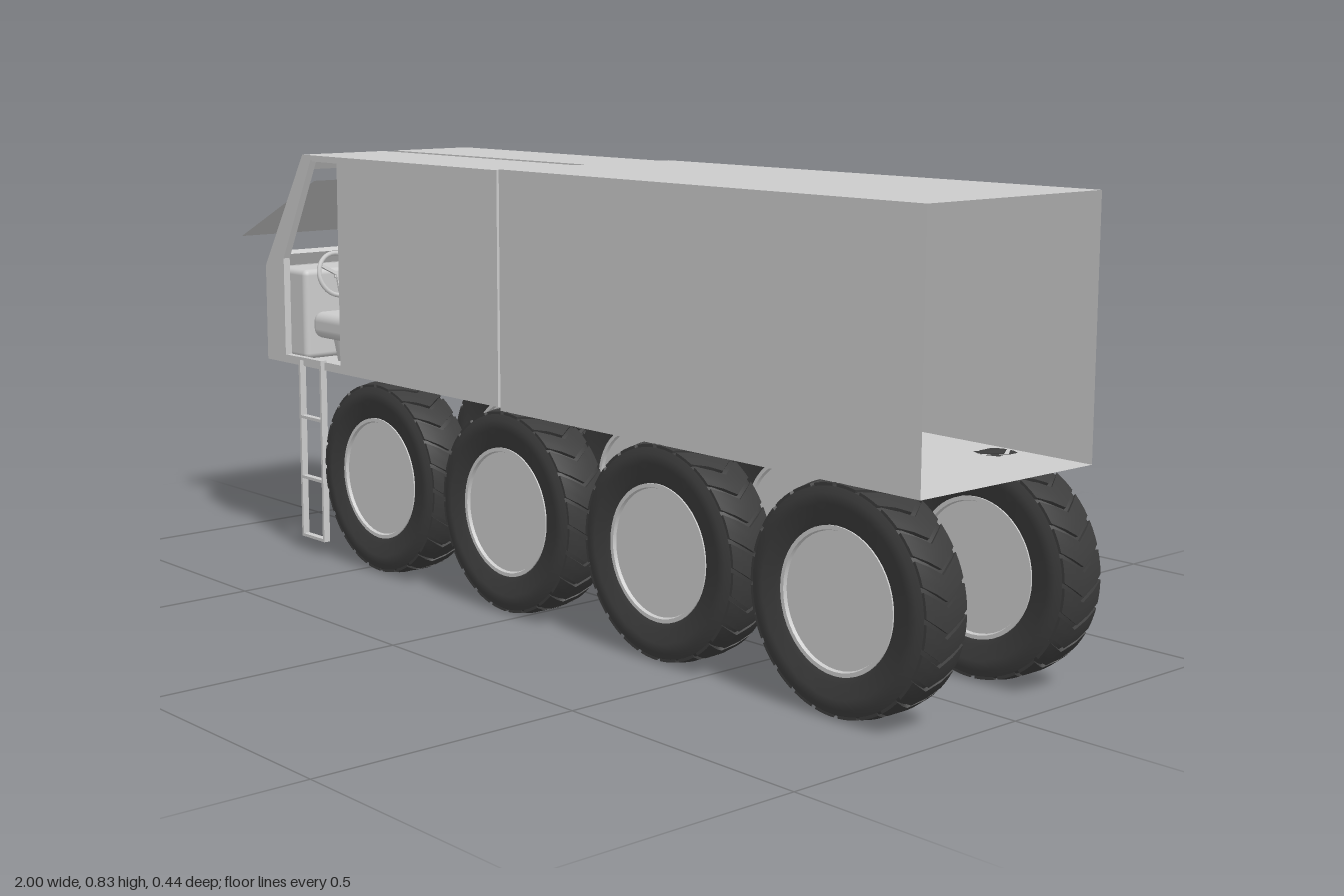
import * as THREE from 'three';
import { toCreasedNormals, mergeGeometries } from 'three/addons/utils/BufferGeometryUtils.js';
import { RoundedBoxGeometry } from 'three/addons/geometries/RoundedBoxGeometry.js';

const grey = new THREE.MeshStandardMaterial({ color: 0xcccccc, side: THREE.DoubleSide });
const rubber = new THREE.MeshStandardMaterial({ color: 0x3c3c3c });

function add(parent, name, geometry, material = grey) {
  const mesh = new THREE.Mesh(geometry, material);
  mesh.name = name;
  parent.add(mesh);
  return mesh;
}

// Box given by its limits on each axis
function block(parent, name, [x0, x1], [y0, y1], [z0, z1], radius = 0) {
  const size = [x1 - x0, y1 - y0, z1 - z0];
  const geo = radius ? new RoundedBoxGeometry(...size, 3, radius) : new THREE.BoxGeometry(...size);
  geo.translate((x0 + x1) / 2, (y0 + y1) / 2, (z0 + z1) / 2);
  return add(parent, name, geo);
}

// Slanted bar between two points of the side profile
function bar(parent, name, [xa, ya], [xb, yb], thick, width, z = 0) {
  const geo = new THREE.BoxGeometry(Math.hypot(xb - xa, yb - ya), thick, width);
  geo.rotateZ(Math.atan2(yb - ya, xb - xa));
  geo.translate((xa + xb) / 2, (ya + yb) / 2, z);
  return add(parent, name, geo);
}

const outline = (pts, Type = THREE.Shape) => new Type(pts.map(p => new THREE.Vector2(...p)));

// Cross wall with a central doorway
function bulkhead(parent, name, x) {
  const shape = outline([[-0.2, 0.39], [0.2, 0.39], [0.2, 0.818], [-0.2, 0.818]]);
  shape.holes.push(outline([[-0.065, 0.396], [-0.065, 0.773], [0.065, 0.773], [0.065, 0.396]], THREE.Path));
  const geo = new THREE.ExtrudeGeometry(shape, { depth: 0.008, bevelEnabled: false });
  add(parent, name, geo.rotateY(Math.PI / 2).translate(x, 0, 0));
}

function createFrontBody() {
  const body = new THREE.Group();
  body.name = 'frontBody';

  // Side walls with the open cab doorway
  const wall = outline([[-0.86, 0.39], [-0.062, 0.39], [-0.062, 0.83], [-0.71, 0.83], [-0.86, 0.59]]);
  wall.holes.push(outline([[-0.79, 0.407], [-0.79, 0.61], [-0.68, 0.82], [-0.585, 0.82], [-0.585, 0.407]], THREE.Path));
  for (const z of [-0.21, 0.195]) {
    const geo = new THREE.ExtrudeGeometry(wall, { depth: 0.015, bevelEnabled: false });
    add(body, 'sideWall', geo.translate(0, 0, z));
  }

  // Roof panels either side of a lower joint strip
  for (const z of [[-0.205, -0.02], [0.007, 0.205]]) block(body, 'roofPanel', [-0.71, -0.062], [0.817, 0.83], z);
  block(body, 'roofJoint', [-0.71, -0.062], [0.812, 0.824], [-0.022, 0.009]);

  block(body, 'floor', [-0.85, -0.062], [0.39, 0.4], [-0.2, 0.2]);
  block(body, 'nosePanel', [-0.86, -0.845], [0.39, 0.592], [-0.2, 0.2]);
  bar(body, 'windscreenSill', [-0.853, 0.588], [-0.835, 0.617], 0.014, 0.4);
  bar(body, 'windscreenHeader', [-0.72, 0.802], [-0.706, 0.825], 0.012, 0.4);
  bulkhead(body, 'cabRearWall', -0.585);

  // Windscreen swung up and out
  const screen = new THREE.PlaneGeometry(Math.hypot(0.29, 0.135), 0.37).rotateX(-Math.PI / 2);
  screen.rotateZ(Math.atan2(0.135, 0.29)).translate(-0.855, 0.7075, -0.003);
  add(body, 'raisedWindscreen', screen);
  return body;
}

function createCabInterior() {
  const cab = new THREE.Group();
  cab.name = 'cabInterior';
  block(cab, 'dashboard', [-0.84, -0.735], [0.4, 0.588], [-0.194, 0.194], 0.012);
  for (const z of [[-0.06, -0.018], [0.047, 0.085]]) block(cab, 'console', [-0.76, -0.715], [0.4, 0.53], z, 0.004);

  for (const s of [-1, 1]) {
    const seat = new THREE.Group();
    seat.name = 'seat';
    seat.position.z = s * 0.125;
    add(seat, 'pedestal', new THREE.CylinderGeometry(0.037, 0.027, 0.055, 20).translate(-0.672, 0.427, 0));
    block(seat, 'cushion', [-0.73, -0.59], [0.447, 0.502], [-0.06, 0.06], 0.02);
    block(seat, 'backrest', [-0.63, -0.586], [0.455, 0.66], [-0.056, 0.056], 0.019);
    cab.add(seat);
  }

  // Steering wheel and column
  const wheel = add(cab, 'steeringWheel', new THREE.TorusGeometry(0.045, 0.005, 8, 32).rotateY(Math.PI / 2));
  wheel.position.set(-0.732, 0.575, 0.115);
  wheel.rotation.z = 0.27;
  for (let i = 0; i < 3; i++) {
    const spoke = new THREE.BoxGeometry(0.005, 0.045, 0.007).translate(0, 0.0225, 0);
    add(wheel, 'spoke', spoke.rotateX(Math.PI + i * Math.PI * 2 / 3));
  }
  bar(cab, 'steeringColumn', [-0.732, 0.575], [-0.79, 0.555], 0.014, 0.014, 0.115);
  return cab;
}

// Rear body: a square sleeve whose walls taper to a thin edge at the open end
function createRearBody() {
  const body = new THREE.Group();
  body.name = 'rearBody';
  const ring = (x, h, lo, hi) => [[x, lo, -h], [x, lo, h], [x, hi, h], [x, hi, -h]];
  const rings = [ring(-0.055, 0.21, 0.384, 0.832), ring(0.974, 0.21, 0.384, 0.832), ring(-0.055, 0.197, 0.396, 0.818)];
  const positions = [];
  for (let k = 0; k < 2; k++) {
    for (let i = 0; i < 4; i++) {
      const j = (i + 1) % 4, a = rings[k], b = rings[k + 1];
      positions.push(...a[i], ...b[i], ...b[j], ...a[i], ...b[j], ...a[j]);
    }
  }
  const geo = new THREE.BufferGeometry();
  geo.setAttribute('position', new THREE.Float32BufferAttribute(positions, 3));
  geo.computeVertexNormals();
  add(body, 'sleeve', geo);
  bulkhead(body, 'rearBodyFrontWall', -0.062);
  return body;
}

const lathe = (pts, segments) => toCreasedNormals(
  new THREE.LatheGeometry(pts.map(p => new THREE.Vector2(...p)), segments).rotateX(Math.PI / 2), 0.6);

function createWheelParts() {
  const half = [[0.188, 0.041], [0.185, 0.047], [0.174, 0.0515], [0.158, 0.053], [0.155, 0.0515], [0.132, 0.05], [0.118, 0.042]];
  const tyre = lathe([...half.map(([r, w]) => [r, -w]).reverse(), ...half], 64);

  // Chevron tread: blocks bent round the tyre
  const lugs = [];
  const count = 24;
  for (let n = 0; n < count; n++) {
    const lug = new THREE.BoxGeometry(0.215, 0.012, 0.094, 3, 1, 4);
    const p = lug.attributes.position;
    for (let i = 0; i < p.count; i++) {
      const z = p.getZ(i), edge = Math.abs(z) > 0.04;
      const angle = p.getX(i) - 3.4 * Math.abs(z) + n * Math.PI * 2 / count;
      const r = 0.188 + p.getY(i) - (edge ? 0.004 : 0);
      p.setXYZ(i, r * Math.sin(angle), r * Math.cos(angle), z);
    }
    lug.computeVertexNormals();
    lugs.push(lug);
  }
  const rim = lathe([[0, -0.041], [0.113, -0.041], [0.115, -0.047], [0.122, -0.047],
    [0.122, 0.047], [0.115, 0.047], [0.113, 0.041], [0, 0.041]], 48);
  return { tyre, tread: mergeGeometries(lugs), rim };
}

function createLadder() {
  const ladder = new THREE.Group();
  ladder.name = 'ladder';
  const z = [0.205, 0.219];
  for (const x of [-0.725, -0.647]) block(ladder, 'rail', [x - 0.003, x + 0.003], [0.028, 0.41], z);
  for (const y of [0.031, 0.156, 0.284, 0.407]) block(ladder, 'rung', [-0.725, -0.647], [y - 0.003, y + 0.003], z);
  return ladder;
}

export function createModel() {
  const model = new THREE.Group();
  model.name = 'eightWheeledTruck';
  model.add(createFrontBody(), createCabInterior(), createRearBody(), createLadder());

  // Four axles, a wheel on each side
  const parts = createWheelParts();
  for (const x of [-0.45, -0.04, 0.385, 0.806]) {
    for (const s of [-1, 1]) {
      const wheel = new THREE.Group();
      wheel.name = 'wheel';
      wheel.position.set(x, 0.194, s * 0.1675);
      add(wheel, 'tyre', parts.tyre, rubber);
      add(wheel, 'tread', parts.tread, rubber);
      add(wheel, 'rim', parts.rim);
      model.add(wheel);
    }
  }
  return model;
}
